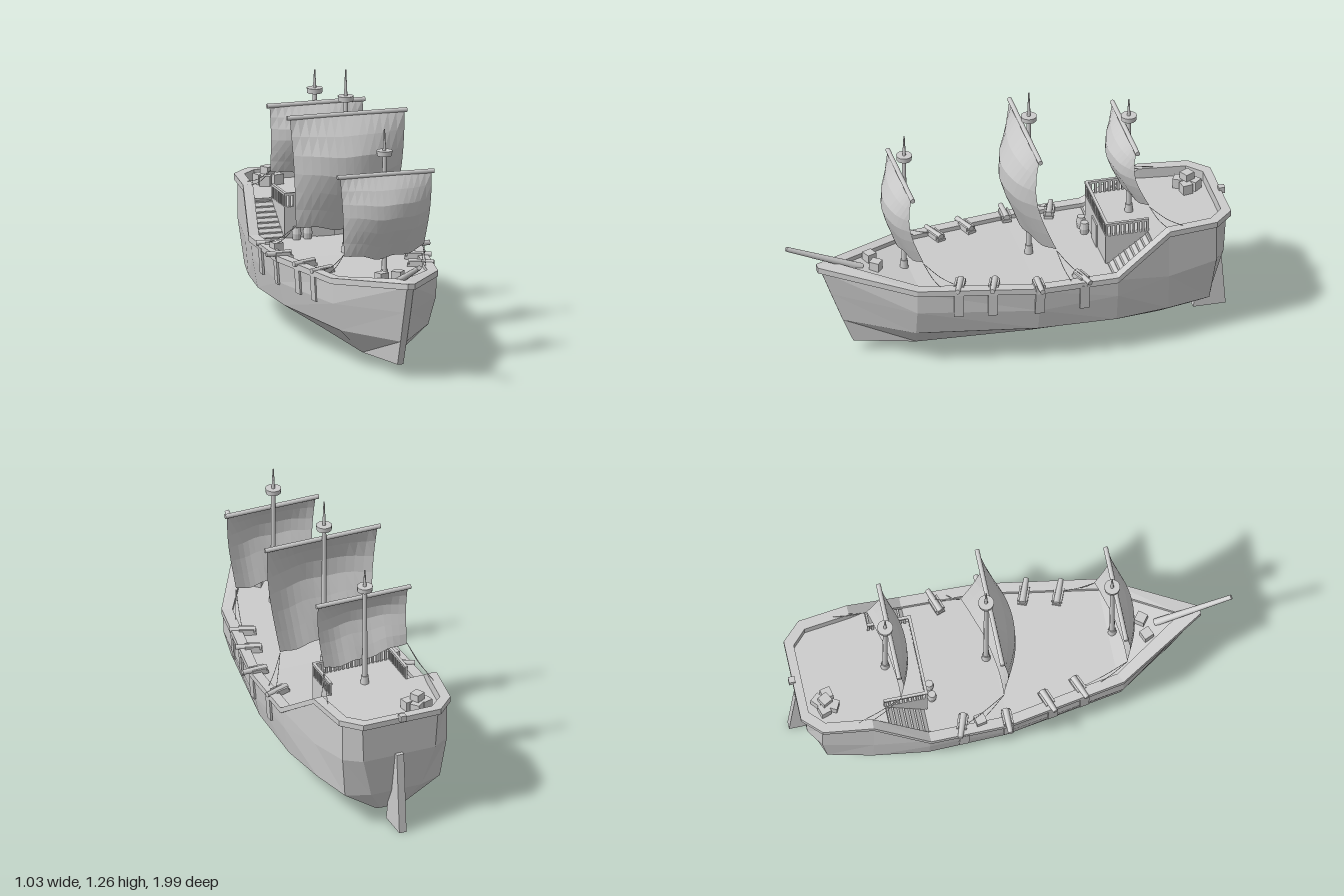
import * as THREE from 'three';

const mat = new THREE.MeshStandardMaterial({ color: 0xcccccc, flatShading: true, side: THREE.DoubleSide });
const smooth = new THREE.MeshStandardMaterial({ color: 0xcccccc });
const V = (x, y, z) => new THREE.Vector3(x, y, z);

function add(parent, name, geo, x = 0, y = 0, z = 0, ry = 0, m = mat) {
  const mesh = new THREE.Mesh(geo, m);
  mesh.name = name;
  mesh.position.set(x, y, z);
  mesh.rotation.y = ry;
  parent.add(mesh);
  return mesh;
}
const box = (p, name, w, h, d, x, y, z, ry) => add(p, name, new THREE.BoxGeometry(w, h, d), x, y, z, ry);
const cyl = (p, name, r0, r1, y0, y1, x, z, n = 12) =>
  add(p, name, new THREE.CylinderGeometry(r1, r0, y1 - y0, n), x, (y0 + y1) / 2, z, 0, smooth);
const extrude = (pts, depth) => new THREE.ExtrudeGeometry(
  new THREE.Shape(pts.map(p => new THREE.Vector2(...p))), { depth, bevelEnabled: false });

// Skin between equal-length rows of [x, y, z] points
function loft(rows, closed = false) {
  const n = rows[0].length, idx = [];
  for (let i = 0; i < rows.length - 1; i++)
    for (let j = 0; j < (closed ? n : n - 1); j++) {
      const a = i * n + j, b = i * n + (j + 1) % n;
      idx.push(a, b, a + n, b, b + n, a + n);
    }
  const g = new THREE.BufferGeometry();
  g.setAttribute('position', new THREE.Float32BufferAttribute(rows.flat(2), 3));
  g.setIndex(idx);
  g.computeVertexNormals();
  return g;
}

// Hull stations, bow to stern: [half width, y, z] at keel, chine, knuckle and rail
const stations = [
  [[0.014, 0.06, 0.785], [0.015, 0.18, 0.835], [0.016, 0.33, 0.892], [0.016, 0.46, 0.94]],
  [[0.095, 0.06, 0.505], [0.213, 0.18, 0.537], [0.25, 0.31, 0.54], [0.252, 0.415, 0.54]],
  [[0.125, 0.06, -0.02], [0.31, 0.18, -0.02], [0.335, 0.29, -0.02], [0.347, 0.4, -0.02]],
  [[0.125, 0.06, -0.39], [0.32, 0.18, -0.39], [0.345, 0.32, -0.39], [0.352, 0.41, -0.39]],
  [[0.11, 0.06, -0.645], [0.285, 0.18, -0.645], [0.3, 0.36, -0.645], [0.3, 0.585, -0.645]],
  [[0.07, 0.06, -0.825], [0.238, 0.18, -0.852], [0.262, 0.39, -0.88], [0.262, 0.585, -0.88]],
  [[0.05, 0.06, -0.83], [0.125, 0.18, -0.895], [0.18, 0.39, -0.935], [0.19, 0.585, -0.945]],
];
// Rail edge: [outer half, outer z, inner half, inner z, top y]
const railLine = [
  [0.018, 0.955, 0.006, 0.85, 0.48], [0.259, 0.542, 0.213, 0.52, 0.432], [0.356, -0.02, 0.308, -0.02, 0.42],
  [0.363, -0.388, 0.313, -0.39, 0.428], [0.309, -0.648, 0.262, -0.645, 0.605],
  [0.28, -0.88, 0.235, -0.86, 0.605], [0.195, -0.967, 0.168, -0.925, 0.605],
];

function buildHull(ship) {
  // Each side runs from the centreline out and up, closed at stem and transom
  for (const s of [-1, 1]) {
    const rows = stations.map(r => [[0, 0.06, r[0][2]], ...r.map(([x, y, z]) => [s * x, y, z])]);
    const flat = r => r.map(([, y, z]) => [0, y, z]);
    add(ship, 'hullSide', loft([flat(rows[0]), ...rows, flat(rows[6])]));
  }

  // Rail cap with inner bulwark, all the way round
  const section = s => ([ho, zo, hi, zi, y]) => [
    [s * ho, y - 0.028, zo], [s * ho, y, zo], [s * hi, y, zi],
    [s * hi, Math.min(0.39, y - 0.04), zi], [s * (hi + 0.01), y - 0.028, zi],
  ];
  const ring = [...railLine.map(section(1)), ...railLine.map(section(-1)).reverse()];
  add(ship, 'rail', loft([...ring, ring[0]], true));

  // Main deck follows the sheer; the quarterdeck block includes the cabin
  const deck = railLine.slice(0, 4).map(([, , h, z, y]) => [[-h, y - 0.02, z], [h, y - 0.02, z]]);
  deck.push([[-0.27, 0.405, -0.6], [0.27, 0.405, -0.6]]);
  add(ship, 'mainDeck', loft(deck));
  const half = [[0.195, 0.37], [0.195, 0.57], [0.278, 0.57], [0.262, 0.645], [0.237, 0.86], [0.17, 0.93]];
  const outline = [...half, ...half.map(([x, z]) => [-x, z]).reverse()];
  add(ship, 'quarterdeck', extrude(outline, 0.16).rotateX(-Math.PI / 2), 0, 0.395, 0);
  box(ship, 'door', 0.09, 0.12, 0.01, 0, 0.465, -0.368);

  // Tapered rudder
  const rudder = extrude([[0.83, 0], [0.985, 0], [0.955, 0.4], [0.905, 0.4]], 0.036);
  add(ship, 'rudder', rudder.translate(0, 0, -0.018).rotateY(Math.PI / 2), 0.004, 0, 0);
  box(ship, 'sternLantern', 0.03, 0.03, 0.03, 0, 0.605, -0.97);
}

function buildQuarterRails(ship) {
  // Cleated ramps beside the cabin
  for (const s of [-1, 1]) {
    const ramp = extrude([[0.37, 0.4], [0.575, 0.4], [0.575, 0.55]], 0.11).translate(0, 0, -0.055);
    add(ship, 'ramp', ramp.rotateY(Math.PI / 2), s * 0.25, 0, 0);
    for (let i = 0; i < 8; i++) {
      const t = (i + 0.5) / 8;
      box(ship, 'rampCleat', 0.11, 0.006, 0.008, s * 0.25, 0.4 + 0.15 * t, -0.37 - 0.205 * t);
    }
  }
  // Balustrade round the cabin roof
  const fence = (x0, z0, x1, z1, n) => {
    const len = Math.hypot(x1 - x0, z1 - z0), ry = Math.atan2(z0 - z1, x1 - x0);
    box(ship, 'handrail', len + 0.012, 0.012, 0.014, (x0 + x1) / 2, 0.615, (z0 + z1) / 2, ry);
    for (let i = 0; i <= n; i++) {
      const t = i / n;
      box(ship, 'baluster', 0.011, 0.06, 0.009, x0 + (x1 - x0) * t, 0.582, z0 + (z1 - z0) * t, ry);
    }
  };
  fence(-0.19, -0.376, 0.19, -0.376, 18);
  for (const s of [-1, 1]) fence(s * 0.19, -0.376, s * 0.19, -0.57, 9);
}

// Mast, yard, bellied sail and sheets
function buildMast(ship, o) {
  const g = new THREE.Group();
  g.name = o.name;
  g.position.z = o.z;
  ship.add(g);
  cyl(g, 'mast', 0.013, 0.01, o.base, o.nest, 0, 0);
  cyl(g, 'mastFoot', 0.021, 0.017, o.base, o.base + 0.045, 0, 0);
  cyl(g, 'lookout', 0.035, 0.037, o.nest - 0.012, o.nest + 0.012, 0, 0, 16);
  cyl(g, 'topSpike', 0.009, 0.003, o.nest, o.tip, 0, 0, 8);
  const yard = cyl(g, 'yard', 0.011, 0.011, -o.half - 0.012, o.half + 0.012, 0, 0.018);
  yard.rotation.z = Math.PI / 2;
  yard.position.y = o.top;

  // Fore-and-aft offset per row at the edges, and extra belly in the middle; the foot twists with the wind
  const edge = [0, 0.012, 0.018, 0.015, 0, -0.02, -0.04];
  const belly = [0, 0.05, 0.085, 0.09, 0.075, 0.055, 0.035];
  const offset = (s, row) =>
    0.022 + o.belly * (edge[row] + belly[row] * (1 - s * s) - 0.05 * s * (row / 6) ** 2);
  const geo = new THREE.PlaneGeometry(2, 1, 14, 6), p = geo.attributes.position;
  for (let i = 0; i < p.count; i++) {
    const s = p.getX(i), t = 0.5 - p.getY(i);
    const wave = t * 0.007 * Math.sin(s * 8);
    p.setXYZ(i, s * o.half * (1 - o.taper * t), o.top - t * (o.top - o.bottom) + wave + t * 0.03 * s * s,
      offset(s, Math.round(t * 6)));
  }
  geo.computeVertexNormals();
  add(g, 'sail', geo);

  for (const s of [-1, 1])
    for (const back of [0.12, 0.2]) {
      const a = V(s * o.half * (1 - o.taper), o.bottom + 0.03, offset(s, 6)), b = V(s * o.foot, o.footY, -back);
      const mid = a.clone().lerp(b, 0.5).add(V(0, -0.015, 0));
      add(g, 'sheet', new THREE.TubeGeometry(new THREE.CatmullRomCurve3([a, mid, b]), 8, 0.0015, 5));
    }
}

function buildGuns(ship) {
  // [z, carriage x, hull side x, turn towards the bow]
  const guns = [[-0.23, 0.305, 0.35, -0.33], [-0.02, 0.325, 0.343, 0], [0.18, 0.268, 0.307, 0.36], [0.335, 0.232, 0.28, 0.38]];
  for (const s of [-1, 1])
    for (const [z, x, side, turn] of guns) {
      const g = new THREE.Group();
      g.name = 'cannon';
      g.position.set(s * x, 0.4, z);
      g.rotation.y = s > 0 ? -turn : Math.PI + turn;
      ship.add(g);
      box(g, 'carriage', 0.085, 0.014, 0.042, -0.012, 0.012, 0);
      for (const c of [-1, 1]) box(g, 'cheek', 0.07, 0.02, 0.009, -0.008, 0.024, c * 0.019);
      const barrel = cyl(g, 'barrel', 0.016, 0.012, -0.06, 0.06, 0, 0, 10);
      barrel.rotation.z = -Math.PI / 2;
      barrel.position.set(0.01, 0.026, 0);
      // Hanging port lid, flat against the hull side
      const lean = z > 0 ? s * -0.17 : 0;
      const lid = box(ship, 'portLid', 0.01, 0.125, 0.045, s * (side + 0.002), 0.345, z + (z > 0 ? 0.015 : 0), lean);
      lid.rotation.z = s * -0.07;
    }
}

function buildCargo(ship) {
  const crates = [
    [-0.165, 0.58, -0.85, 0.3], [-0.115, 0.58, -0.87, 0.7], [-0.15, 0.58, -0.805, 1.1], [-0.09, 0.58, -0.825, 0.2], [-0.13, 0.615, -0.84, 0.5],
    [-0.06, 0.455, 0.69, 0.4], [0.02, 0.455, 0.68, 0.9], [-0.305, 0.425, -0.145, 0.2],
  ];
  for (const [x, y, z, ry] of crates) box(ship, 'crate', 0.048, 0.048, 0.048, x, y, z, ry);
  for (const [x, z] of [[-0.147, -0.34], [-0.093, -0.342]]) {
    const profile = [[0, 0], [0.018, 0], [0.023, 0.03], [0.018, 0.06], [0, 0.06]].map(p => new THREE.Vector2(...p));
    add(ship, 'barrel', new THREE.LatheGeometry(profile, 12), x, 0.405, z);
  }
}

export function createModel() {
  const model = new THREE.Group();
  model.name = 'sailingShip';
  const ship = new THREE.Group();
  ship.name = 'ship';
  ship.position.set(-0.07, 0, -0.028);
  ship.rotation.y = -0.38;
  model.add(ship);

  buildHull(ship);
  buildQuarterRails(ship);
  buildMast(ship, { name: 'foremast', z: 0.54, base: 0.41, nest: 1.007, tip: 1.12, top: 0.91, bottom: 0.515, half: 0.222, taper: 0.08, belly: 0.7, foot: 0.24, footY: 0.42 });
  buildMast(ship, { name: 'mainmast', z: -0.054, base: 0.4, nest: 1.13, tip: 1.265, top: 1.06, bottom: 0.52, half: 0.278, taper: 0.1, belly: 1, foot: 0.33, footY: 0.42 });
  buildMast(ship, { name: 'mizzenmast', z: -0.53, base: 0.55, nest: 1.06, tip: 1.157, top: 1.005, bottom: 0.672, half: 0.225, taper: 0.01, belly: 0.7, foot: 0.27, footY: 0.6 });
  buildGuns(ship);
  buildCargo(ship);

  // Bowsprit
  const a = V(-0.005, 0.44, 0.74), b = V(-0.008, 0.59, 1.1);
  const sprit = cyl(ship, 'bowsprit', 0.018, 0.011, 0, a.distanceTo(b), 0, 0);
  sprit.position.copy(a).lerp(b, 0.5);
  sprit.quaternion.setFromUnitVectors(V(0, 1, 0), b.sub(a).normalize());
  return model;
}
